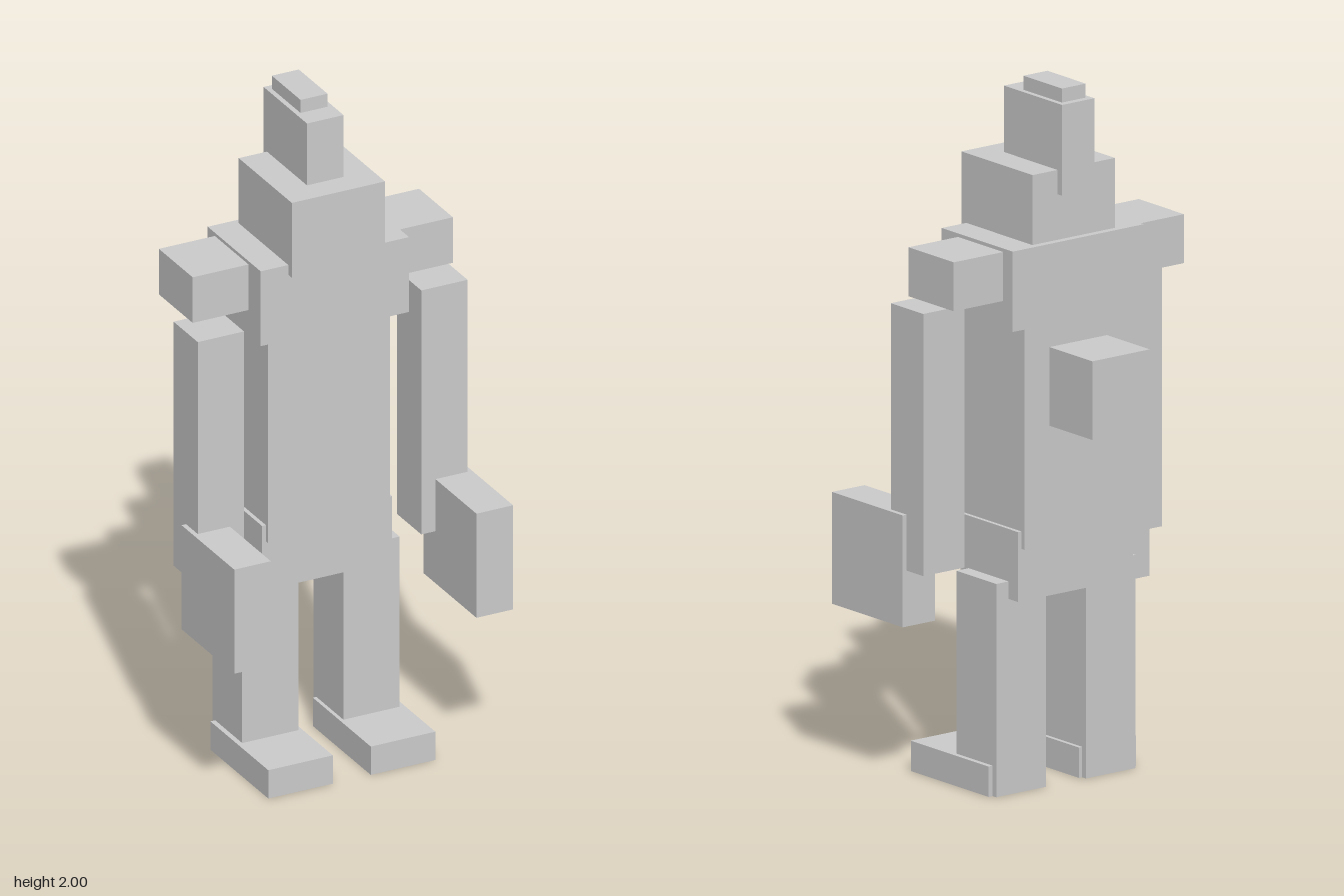
import * as THREE from 'three';

const material = new THREE.MeshStandardMaterial({ color: 0xcccccc, flatShading: true });

// Box given by its extents along each axis
function block(name, [x0, x1], [y0, y1], [z0, z1]) {
  const mesh = new THREE.Mesh(new THREE.BoxGeometry(x1 - x0, y1 - y0, z1 - z0), material);
  mesh.position.set((x0 + x1) / 2, (y0 + y1) / 2, (z0 + z1) / 2);
  mesh.name = name;
  return mesh;
}

export function createModel() {
  const model = new THREE.Group();
  model.name = 'blockFigure';

  // Central parts: name, half width, y extent, z extent
  const central = [
    ['pelvis', 0.202, [0.56, 0.76], [-0.165, 0.09]],
    ['torso', 0.19, [0.71, 1.34], [-0.178, 0.102]],
    ['chest', 0.231, [1.34, 1.57], [-0.178, 0.137]],
    ['backpack', 0.101, [1.05, 1.275], [-0.368, -0.178]],
    ['head', 0.145, [1.54, 1.77], [-0.158, 0.158]],
    ['crest', 0.057, [1.7, 1.96], [-0.178, 0.08]],
    ['crestCap', 0.042, [1.96, 2], [-0.158, 0.013]],
  ];
  for (const [name, w, y, z] of central) model.add(block(name, [-w, w], y, z));

  // Paired parts: name, x extent on the left side, y extent, z extent
  const paired = [
    ['Shoulder', [0.231, 0.405], [1.42, 1.56], [-0.136, 0.065]],
    ['Arm', [0.276, 0.42], [0.64, 1.39], [-0.02, 0.124]],
    ['Hand', [0.32, 0.434], [0.48, 0.8], [0.054, 0.368]],
    ['Leg', [0.07, 0.245], [0, 0.61], [-0.123, 0.054]],
    ['Foot', [0.059, 0.26], [0, 0.087], [-0.107, 0.238]],
  ];
  for (const [name, [x0, x1], y, z] of paired) {
    model.add(block('left' + name, [x0, x1], y, z));
    model.add(block('right' + name, [-x1, -x0], y, z));
  }
  return model;
}
